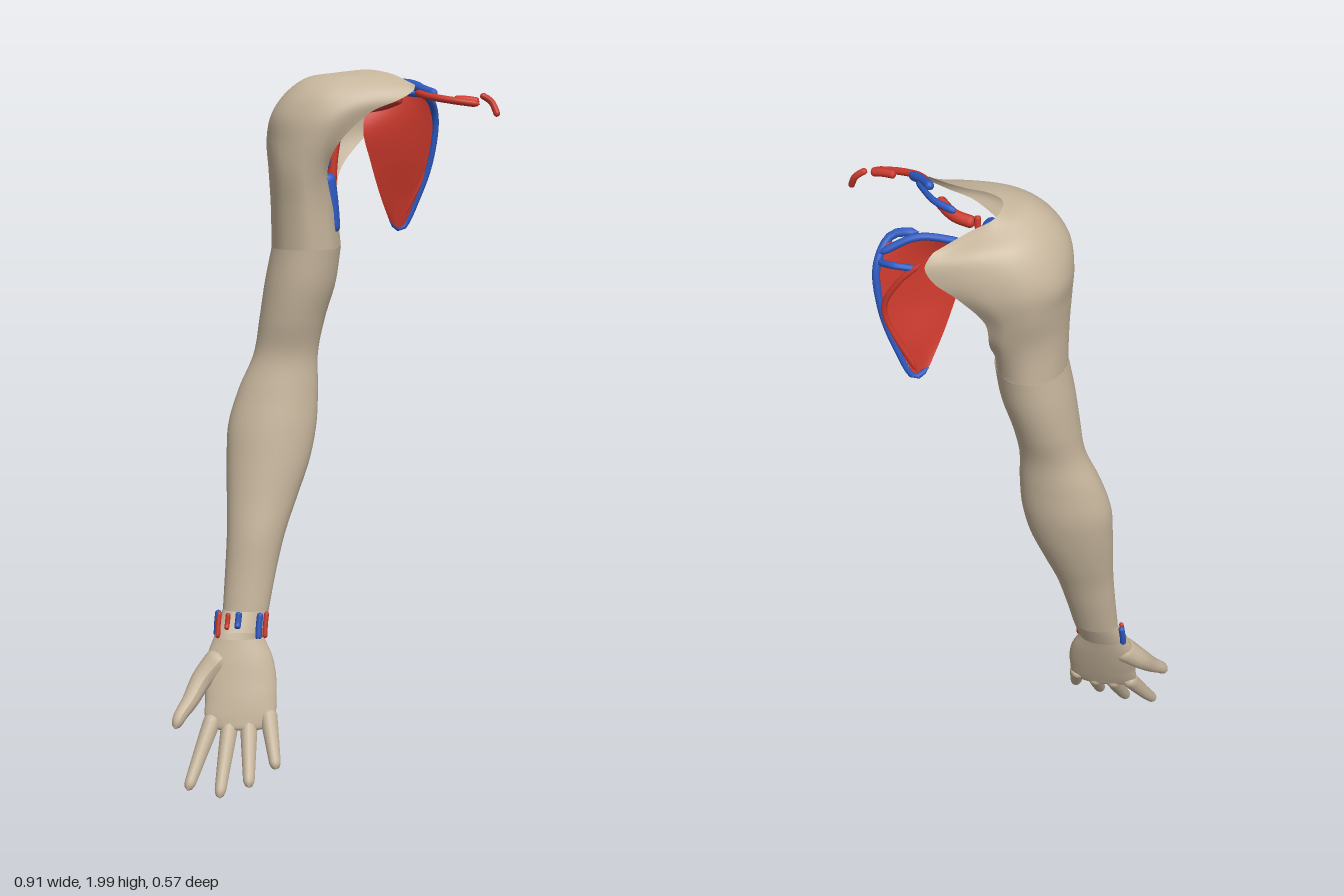
import * as THREE from 'three';
import { mergeVertices } from 'three/addons/utils/BufferGeometryUtils.js';

const V = (p) => new THREE.Vector3(...p);
const paint = (name, color) => {
  const m = new THREE.MeshStandardMaterial({ color, side: THREE.DoubleSide });
  m.name = name;
  return m;
};

// Smooth sheet through rows of points, rows listed upwards
function sheet(rows, nu, nv) {
  const across = rows.map((r) => new THREE.CatmullRomCurve3(r.map(V)));
  const pos = [], index = [];
  for (let u = 0; u <= nu; u++) {
    const column = new THREE.CatmullRomCurve3(across.map((c) => c.getPoint(u / nu)));
    for (let v = 0; v <= nv; v++) pos.push(...column.getPoint(v / nv).toArray());
  }
  for (let u = 0; u < nu; u++) for (let v = 0; v < nv; v++) {
    const a = u * (nv + 1) + v, b = a + nv + 1;
    index.push(a, a + 1, b, a + 1, b + 1, b);
  }
  let g = new THREE.BufferGeometry();
  g.setAttribute('position', new THREE.Float32BufferAttribute(pos, 3));
  g.setIndex(index);
  g = mergeVertices(g, 1e-4);
  g.computeVertexNormals();
  return g;
}

// Oval cross-section [y, left, right, back, front], from angle a0 to a1
function oval([y, x0, x1, z0, z1], a0 = 0, a1 = Math.PI * 2) {
  const pts = [];
  for (let i = 0; i <= 32; i++) {
    const a = a0 + (a1 - a0) * i / 32;
    pts.push([(x0 + x1) / 2 + (x1 - x0) / 2 * Math.cos(a), y, (z0 + z1) / 2 + (z1 - z0) / 2 * Math.sin(a)]);
  }
  return pts;
}

// Tapered tube with rounded ends
function limb(points, r0, r1 = r0, round = 0.12) {
  const curve = new THREE.CatmullRomCurve3(points.map(V)), n = 28, sides = 12;
  let g = new THREE.TubeGeometry(curve, n, r0, sides);
  const p = g.attributes.position, v = new THREE.Vector3();
  for (let i = 0; i <= n; i++) {
    const t = i / n, c = curve.getPointAt(t);
    const e = Math.min(1, Math.min(t, 1 - t) / round);
    const f = (1 + (r1 / r0 - 1) * t) * Math.sqrt(1 - (1 - e) ** 2);
    for (let j = 0; j <= sides; j++) {
      const k = i * (sides + 1) + j;
      v.fromBufferAttribute(p, k).sub(c).multiplyScalar(f).add(c);
      p.setXYZ(k, v.x, v.y, v.z);
    }
  }
  g.computeVertexNormals();
  return g;
}

export function createModel() {
  const model = new THREE.Group();
  model.name = 'arm';
  const skin = paint('skin', 0xc6b59c), red = paint('artery red', 0xc9382b), blue = paint('vein blue', 0x2d59c0);
  const add = (name, geometry, material) => {
    const m = new THREE.Mesh(geometry, material);
    m.name = name;
    model.add(m);
  };

  // Upper arm and forearm
  const arm = [
    [0.49, -0.312, -0.182, 0.005, 0.1], [0.6, -0.305, -0.16, -0.03, 0.087],
    [0.7, -0.3, -0.135, -0.06, 0.077], [0.8, -0.3, -0.1, -0.095, 0.06],
    [0.9, -0.3, -0.065, -0.125, 0.045], [1.0, -0.295, -0.045, -0.145, 0.03],
    [1.1, -0.265, -0.04, -0.15, 0.012], [1.2, -0.222, -0.04, -0.155, 0],
    [1.3, -0.205, -0.02, -0.18, 0.02], [1.4, -0.19, 0.01, -0.2, 0.035],
    [1.5, -0.17, 0.025, -0.21, 0.04],
  ];
  add('armSleeve', sheet(arm.map((r) => oval(r)), 40, 70), skin);

  // Shoulder shell: rows run from the front edge round the side to the back edge
  const armpitRows = [
    oval(arm[10]).filter((p, i) => i % 4 === 0),
    [[0, 1.62, -0.02], [-0.02, 1.62, 0.02], [-0.08, 1.62, 0.05], [-0.145, 1.62, 0.01], [-0.172, 1.62, -0.08],
      [-0.15, 1.62, -0.165], [-0.09, 1.62, -0.215], [-0.02, 1.62, -0.225], [0.02, 1.61, -0.2]],
    [[-0.015, 1.72, 0.03], [-0.04, 1.72, 0.055], [-0.09, 1.72, 0.06], [-0.15, 1.72, 0.015], [-0.178, 1.72, -0.08],
      [-0.155, 1.72, -0.18], [-0.1, 1.72, -0.235], [-0.03, 1.71, -0.25], [0.025, 1.7, -0.235]],
    [[0.01, 1.79, 0.06], [-0.03, 1.8, 0.075], [-0.09, 1.8, 0.06], [-0.155, 1.8, 0], [-0.183, 1.8, -0.09],
      [-0.16, 1.8, -0.19], [-0.09, 1.8, -0.25], [0, 1.79, -0.27], [0.09, 1.79, -0.27]],
  ];
  const capRows = [
    [[0.1, 1.88, 0.065], [0, 1.87, 0.08], [-0.08, 1.87, 0.055], [-0.145, 1.87, 0], [-0.17, 1.87, -0.08],
      [-0.14, 1.87, -0.18], [-0.07, 1.87, -0.24], [0.02, 1.86, -0.268], [0.15, 1.84, -0.28]],
    [[0.18, 1.915, 0.06], [0.06, 1.93, 0.06], [-0.04, 1.93, 0.045], [-0.105, 1.93, -0.005], [-0.13, 1.93, -0.08],
      [-0.105, 1.925, -0.16], [-0.05, 1.92, -0.215], [0.04, 1.91, -0.25], [0.17, 1.88, -0.28]],
    [[0.22, 1.94, 0.05], [0.1, 1.97, 0.02], [0, 1.97, 0.01], [-0.06, 1.972, -0.04], [-0.07, 1.972, -0.09],
      [-0.05, 1.965, -0.14], [0, 1.955, -0.18], [0.06, 1.935, -0.21], [0.16, 1.905, -0.268]],
    [[0.225, 1.955, 0.045], [0.16, 1.985, -0.03], [0.1, 1.995, -0.065], [0.04, 1.99, -0.07], [0.005, 1.985, -0.09],
      [0, 1.98, -0.13], [0.015, 1.97, -0.165], [0.07, 1.945, -0.19], [0.15, 1.915, -0.255]],
  ];
  add('shoulderShell', sheet([...armpitRows, ...capRows], 56, 49), skin);

  // Palm, with the front of the wrist left open
  const palm = [
    [0.165, -0.27, -0.26, 0.155, 0.16], [0.172, -0.34, -0.19, 0.137, 0.178], [0.2, -0.362, -0.167, 0.122, 0.176],
    [0.25, -0.362, -0.162, 0.1, 0.166], [0.3, -0.365, -0.162, 0.08, 0.153],
    [0.36, -0.358, -0.172, 0.058, 0.138], [0.415, -0.337, -0.197, 0.04, 0.122],
  ];
  add('palm', sheet(palm.map((r) => oval(r)), 40, 36), skin);
  add('wristBack', sheet([palm[6], [0.45, -0.325, -0.19, 0.024, 0.11], arm[0]]
    .map((r) => oval(r, Math.PI, Math.PI * 2)), 24, 8), skin);

  // Thumb and fingers
  add('thumb', limb([[-0.31, 0.37, 0.095], [-0.37, 0.305, 0.125], [-0.405, 0.25, 0.165], [-0.432, 0.215, 0.195],
    [-0.445, 0.185, 0.215]], 0.04, 0.015), skin);
  const fingers = {
    index: [-0.335, 0.21, -0.41, 0.022, 0.262], middle: [-0.29, 0.2, -0.322, 0.005, 0.28],
    ring: [-0.24, 0.2, -0.24, 0.032, 0.272], little: [-0.187, 0.22, -0.165, 0.075, 0.243],
  };
  for (const [name, [x0, y0, x1, y1, z1]] of Object.entries(fingers)) {
    const at = (t, dz) => [x0 + (x1 - x0) * t, y0 + (y1 - y0) * t, 0.14 + (z1 - 0.14) * t + dz];
    add(name + 'Finger', limb([at(0, 0), at(0.35, -0.003), at(0.7, -0.004), at(1, 0)], 0.026, 0.015), skin);
  }

  // Red shoulder blade muscle with a vein border
  add('shoulderBladeMuscle', sheet([
    [[0.17, 1.56, -0.245], [0.195, 1.54, -0.255], [0.21, 1.54, -0.265]],
    [[0.14, 1.64, -0.2], [0.2, 1.63, -0.24], [0.25, 1.63, -0.268]],
    [[0.11, 1.74, -0.16], [0.2, 1.74, -0.21], [0.285, 1.74, -0.265]],
    [[0.09, 1.82, -0.14], [0.19, 1.84, -0.19], [0.298, 1.85, -0.252]],
    [[0.1, 1.89, -0.17], [0.2, 1.92, -0.2], [0.28, 1.91, -0.225]],
  ], 16, 24), red);
  const border = [[0.2, 1.93, -0.19], [0.27, 1.92, -0.2], [0.3, 1.86, -0.25], [0.29, 1.74, -0.268],
    [0.255, 1.63, -0.272], [0.205, 1.535, -0.268], [0.17, 1.56, -0.25]];
  add('bladeBorderVein', limb(border, 0.012, 0.007, 0.04), blue);
  add('bladeUpperVein', limb([[0.19, 1.87, -0.27], [0.25, 1.88, -0.28], [0.295, 1.87, -0.255]], 0.009), blue);
  add('bladeSpineVein', limb([[0.09, 1.91, -0.185], [0.2, 1.93, -0.215], [0.295, 1.89, -0.245]], 0.01), blue);
  add('bladeArtery', limb([[0.18, 1.89, -0.275], [0.24, 1.83, -0.28], [0.28, 1.74, -0.275], [0.2, 1.55, -0.265]], 0.008), red);

  // Vessels under the collarbone
  add('collarVeinInner', limb([[0.12, 1.95, -0.11], [0.18, 1.96, -0.085], [0.22, 1.96, -0.035], [0.25, 1.95, 0.02]], 0.011, 0.006), blue);
  add('collarVeinOuter', limb([[0.205, 1.96, -0.015], [0.24, 1.945, 0.04], [0.28, 1.93, 0.088]], 0.013), blue);
  add('collarArtery', limb([[0.225, 1.935, 0.05], [0.26, 1.925, 0.095], [0.32, 1.915, 0.125], [0.395, 1.905, 0.138]], 0.01), red);
  add('collarArteryBranch', limb([[0.325, 1.915, 0.105], [0.36, 1.915, 0.112], [0.395, 1.91, 0.118]], 0.012), red);
  add('collarArteryTip', limb([[0.4, 1.93, 0.092], [0.43, 1.91, 0.088], [0.448, 1.87, 0.1]], 0.009), red);
  add('chestArtery', limb([[0.08, 1.89, -0.06], [0.14, 1.9, -0.045], [0.19, 1.92, -0.005]], 0.017), red);

  // Vessels inside the armpit
  add('armpitVein', limb([[0.03, 1.91, -0.17], [0.032, 1.92, -0.13], [0.03, 1.91, -0.085]], 0.02), blue);
  add('armVein', limb([[-0.015, 1.71, -0.05], [-0.005, 1.63, -0.052], [0.002, 1.54, -0.055]], 0.022), blue);
  add('armVeinUpper', limb([[0, 1.88, -0.03], [-0.015, 1.8, -0.035], [-0.015, 1.72, -0.04]], 0.01), blue);
  add('armArtery', limb([[0.045, 1.92, -0.1], [0.015, 1.82, -0.095], [0, 1.7, -0.088], [0.005, 1.55, -0.085]], 0.014), red);
  add('armpitArtery', limb([[0.07, 1.93, -0.085], [0.068, 1.9, -0.09], [0.06, 1.87, -0.09]], 0.009), red);

  // Cut vessels at the wrist
  const stubs = [[-0.325, 0.08, 0], [-0.3, 0.1, 0], [-0.27, 0.09, 1], [-0.21, 0.1, 1], [-0.192, 0.085, 0], [-0.328, 0.06, 1]];
  stubs.forEach(([x, z, vein], i) => add('wristVessel' + (i + 1),
    limb([[x + 0.004, 0.485, z - 0.015], [x, 0.45, z - 0.008], [x - 0.002, i === 2 || i === 1 ? 0.44 : 0.41, z]],
      vein ? 0.009 : 0.007), vein ? blue : red));

  return model;
}
